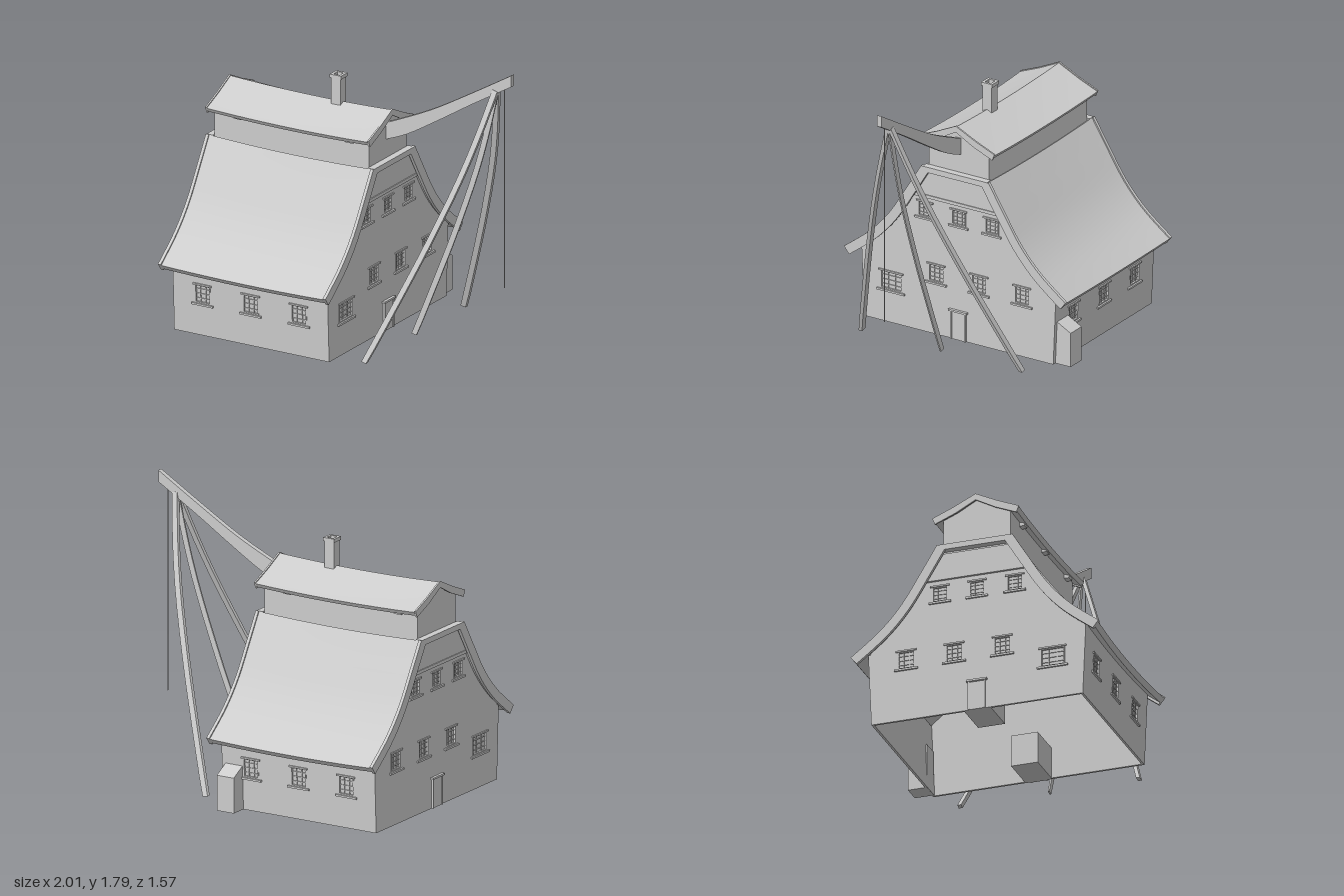
import * as THREE from 'three';
import { toCreasedNormals } from 'three/addons/utils/BufferGeometryUtils.js';

const grey = new THREE.MeshStandardMaterial({ color: 0xcccccc, side: THREE.DoubleSide });
const CX = -0.4175, HALF = 0.5425, T = 0.015; // house centre, half length, wall thickness

const add = (parent, name, geo, x = 0, y = 0, z = 0) => {
  const m = new THREE.Mesh(geo, grey);
  m.name = name;
  m.position.set(x, y, z);
  parent.add(m);
  return m;
};
const box = (parent, name, w, h, d, x, y, z) => add(parent, name, new THREE.BoxGeometry(w, h, d), x, y, z);
const group = (parent, name) => {
  const g = new THREE.Group();
  g.name = name;
  parent.add(g);
  return g;
};
const spline = (pts) => new THREE.SplineCurve(pts.map((p) => new THREE.Vector2(...p)));
const polygon = (pts) => new THREE.Shape(pts.map((p) => new THREE.Vector2(...p)));
const extrude = (shape, depth, steps = 1) => new THREE.ExtrudeGeometry(shape, { depth, steps, bevelEnabled: false });

// Points along a curve, pushed sideways by d
function offset(curve, d, n = 14) {
  return Array.from({ length: n + 1 }, (_, i) => {
    const p = curve.getPoint(i / n), t = curve.getTangent(i / n);
    return [p.x + t.y * d, p.y - t.x * d];
  });
}
// Closed strip between two offsets of a curve
const strip = (curve, d0, d1) => [...offset(curve, d0), ...offset(curve, d1).reverse()];

// Extrude a (z, y) profile along x, with an optional sag in the middle
function alongX(pts, x0, x1, sag = 0) {
  let g = extrude(polygon(pts.map(([z, y]) => [-z, y])), x1 - x0, sag ? 16 : 1);
  g.rotateY(Math.PI / 2).translate(x0, 0, 0);
  const p = g.attributes.position;
  for (let i = 0; i < p.count && sag; i++) {
    const u = (2 * p.getX(i) - x0 - x1) / (x1 - x0), s = sag * (1 - u * u);
    p.setY(i, p.getY(i) - s);
    p.setZ(i, p.getZ(i) * (1 - s));
  }
  return toCreasedNormals(g, 0.5);
}

// Window with glass, frame, glazing bars, sill and lintel; outer face looks to +z
function addWindow(parent, [x, y, w, h]) {
  const g = group(parent, 'window');
  g.position.set(x, y, 0);
  box(g, 'glass', w, h, 0.004, 0, 0, -T + 0.002);
  for (const s of [-1, 1]) {
    box(g, 'frameSide', 0.008, h, 0.012, s * (w / 2 - 0.004), 0, -0.005);
    box(g, 'frameRail', w, 0.008, 0.012, 0, s * (h / 2 - 0.004), -0.005);
    box(g, 'glazingBar', 0.004, h, 0.006, s * w / 6, 0, -0.008);
  }
  for (const k of [-1, 0, 1]) box(g, 'glazingBar', w, 0.004, 0.006, 0, k * h / 4, -0.008);
  box(g, 'sill', w + 0.04, 0.012, 0.022, 0, -h / 2 - 0.006, 0.001);
  box(g, 'lintel', w + 0.02, 0.01, 0.018, 0, h / 2 + 0.002, 0);
}

// Wall panel with an opening cut for each window
function addWall(parent, name, outline, windows) {
  const shape = polygon(outline);
  for (const [x, y, w, h] of windows) {
    const a = w / 2, b = h / 2;
    shape.holes.push(new THREE.Path([[-a, -b], [-a, b], [a, b], [a, -b]].map(([i, j]) => new THREE.Vector2(x + i, y + j))));
  }
  add(parent, name, extrude(shape, T).translate(0, 0, -T));
  windows.forEach((w) => addWindow(parent, w));
}

export function createModel() {
  const model = new THREE.Group();
  model.name = 'craneHouse';
  const house = group(model, 'house');
  house.position.x = CX;

  // Swept profile of the main roof, ridge side to eave
  const slope = spline([[0.235, 1.098], [0.335, 0.935], [0.46, 0.74], [0.6, 0.585], [0.785, 0.44]]);

  // Long sides: leaning wall, lower roof and barge boards
  for (const turn of [0, Math.PI]) {
    const side = group(house, turn ? 'backSide' : 'frontSide');
    side.rotation.y = turn;
    const wall = group(side, 'longWall');
    wall.position.z = 0.672;
    wall.rotation.x = 0.042;
    addWall(wall, 'wallPanel', [[-HALF, 0], [HALF, 0], [HALF, 0.46], [-HALF, 0.46]],
      [-0.3375, 0, 0.3375].map((x) => [x, 0.265, 0.11, 0.12]));
    add(side, 'lowerRoof', alongX(strip(slope, 0.004, 0.04), -0.567, 0.567, 0.015));
    for (const x of [-0.5875, 0.567]) {
      add(side, 'bargeBoard', alongX(strip(slope, -0.004, 0.055), x, x + 0.0205));
    }
    for (const x of [-0.365, 0.027, 0.42]) box(side, 'eaveBracket', 0.05, 0.024, 0.05, x, 1.25, 0.22);
  }

  // Gable ends: wall, upper panel, doors and lobbies
  const under = offset(slope, 0.03).reverse().filter(([z]) => z < 0.69);
  const half = [[0.67, 0], [0.69, 0.42], ...under];
  const mirrored = (pts) => [...pts, ...pts.map(([z, y]) => [-z, y]).reverse()];
  const upper = under.filter(([, y]) => y > 0.93);
  for (const s of [1, -1]) {
    const end = group(house, s > 0 ? 'craneEnd' : 'farEnd');
    end.position.x = s * HALF;
    end.rotation.y = s * Math.PI / 2;
    const windows = [
      ...[0.24, 0, -0.235].map((z) => [z, 0.795, 0.1, 0.1]),
      ...[0.16, -0.145, -0.45].map((z) => [z, 0.395, 0.11, 0.115]),
      [0.48, 0.27, 0.155, 0.12],
    ].map(([z, ...rest]) => [-s * z, ...rest]);
    addWall(end, 'gableWall', mirrored(half), windows);
    add(end, 'gablePanel', extrude(polygon(mirrored([[0.33, 0.895], ...upper.map(([z, y]) => [z, Math.min(y, 1.05)])])), 0.01));
    box(end, 'gableBeam', 0.66, 0.02, 0.016, 0, 0.89, 0.008);
    box(end, 'ridgeBoard', 0.46, 0.035, 0.045, 0, 1.08, 0.0225);
    for (const k of [-1, 1]) box(end, 'doorPost', 0.01, 0.185, 0.016, k * 0.05, 0.0925, 0.004);
    box(end, 'door', 0.09, 0.18, 0.006, 0, 0.09, 0.002);
    box(end, 'doorLintel', 0.13, 0.012, 0.024, 0, 0.188, 0.006);
    box(end, 'lobby', 0.17, 0.2, 0.24, 0, 0.1, -0.12 - T);
  }

  // Upper storey under the ridge
  add(house, 'upperStorey', alongX([[-0.213, 1.06], [0.213, 1.06], [0.213, 1.28], [0, 1.38], [-0.213, 1.28]],
    -HALF + 0.001, HALF - 0.001));
  const ridgeRoof = (lift, drop) => {
    const top = [[0, 1.402], [0.14, 1.335], [0.275, 1.28]];
    const move = (pts, dz, dy) => pts.map(([z, y]) => [z && z + dz, y + dy]);
    const flip = (pts) => pts.slice(1).map(([z, y]) => [-z, y]).reverse();
    const a = move(top, 0, lift), b = move(top, -0.016, -drop);
    return [...flip(a), ...a, ...b.slice().reverse(), ...flip(b).reverse()];
  };
  add(house, 'upperRoof', alongX(ridgeRoof(0, 0.025), -0.56, 0.565, 0.014));
  for (const x of [-0.57, 0.565]) add(house, 'upperBargeBoard', alongX(ridgeRoof(0.006, 0.034), x, x + 0.011));

  // Chimney with open flue
  const flue = (size) => {
    const ring = (r) => [[-r, -r], [r, -r], [r, r], [-r, r]];
    const shape = polygon(ring(size / 2));
    shape.holes.push(polygon(ring(0.022)));
    return shape;
  };
  add(model, 'chimney', extrude(flue(0.066), 0.2).rotateX(-Math.PI / 2), -0.22, 1.35, 0);
  add(model, 'chimneyCap', extrude(flue(0.078), 0.022).rotateX(-Math.PI / 2), -0.22, 1.54, 0);

  // Lean-to on the back wall
  add(model, 'leanTo', alongX([[-0.66, 0], [-0.66, 0.285], [-0.78, 0.22], [-0.78, 0]], -0.02, 0.1));

  // Crane: curved boom, three bowed legs and the rope
  const crane = group(model, 'crane');
  const upperEdge = spline([[0.1, 1.315], [0.16, 1.335], [0.435, 1.46], [0.71, 1.615], [1, 1.787]]).getPoints(16);
  const lowerEdge = spline([[1, 1.715], [0.73, 1.555], [0.49, 1.405], [0.27, 1.275], [0.1, 1.205]]).getPoints(16);
  add(crane, 'boom', extrude(new THREE.Shape([...upperEdge, ...lowerEdge]), 0.034).translate(0, 0, -0.017));

  const bow = spline([[0.31, 0], [0.458, 0.36], [0.597, 0.71], [0.73, 1.08], [0.815, 1.37], [0.885, 1.67]]);
  for (const [foot, width] of [[0.57, 0.024], [-0.57, 0.024], [0, 0.01]]) {
    const geo = extrude(polygon(strip(bow, -0.018, 0.018)), width).translate(0, 0, -width / 2);
    const p = geo.attributes.position;
    for (let i = 0; i < p.count; i++) {
      p.setY(i, Math.max(0, p.getY(i)));
      p.setZ(i, p.getZ(i) + foot * (1 - p.getY(i) / 1.69)); // splay the foot outwards
    }
    add(crane, 'craneLeg', toCreasedNormals(geo, 0.5));
  }
  add(crane, 'rope', new THREE.CylinderGeometry(0.003, 0.003, 1.3, 6), 0.943, 1.07, 0);

  return model;
}
